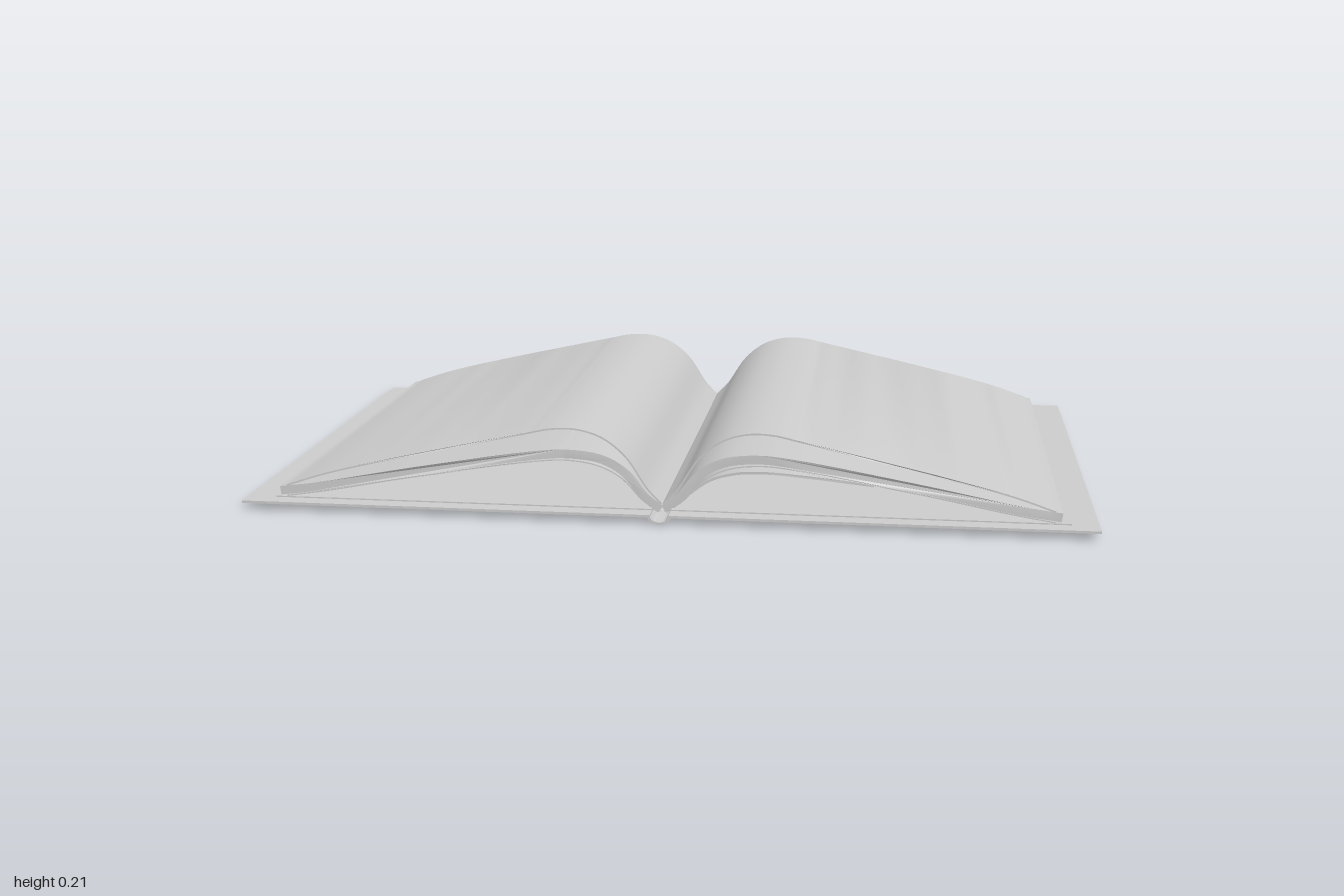
import * as THREE from 'three';
import { toCreasedNormals } from 'three/addons/utils/BufferGeometryUtils.js';

const material = new THREE.MeshStandardMaterial({ color: 0xcccccc, side: THREE.DoubleSide });

// Thickened curve in the x-y plane, extruded along z from zBack to zFront.
function slab(name, points, thickness, zBack, zFront, samples, side = 1, skew = false) {
  const curve = new THREE.CatmullRomCurve3(
    points.map(([x, y]) => new THREE.Vector3(x * side, y, 0)), false, 'centripetal');
  const upper = [], lower = [];
  for (let i = 0; i <= samples; i++) {
    const p = curve.getPoint(i / samples), t = curve.getTangent(i / samples);
    const nx = -t.y * thickness / 2, ny = t.x * thickness / 2;
    upper.push(new THREE.Vector2(p.x + nx, p.y + ny));
    lower.unshift(new THREE.Vector2(p.x - nx, p.y - ny));
  }
  const geometry = new THREE.ExtrudeGeometry(new THREE.Shape([...upper, ...lower]),
    { depth: zFront - zBack, bevelEnabled: false, steps: 1 });
  geometry.translate(0, 0, zBack);
  // Pages slide slightly backward toward the gutter.
  if (skew) {
    const pos = geometry.attributes.position;
    for (let i = 0; i < pos.count; i++) {
      const a = Math.min(Math.abs(pos.getX(i)) / 0.6, 1);
      pos.setZ(i, pos.getZ(i) - 0.022 * (1 - a * a * (3 - 2 * a)));
    }
  }
  const mesh = new THREE.Mesh(toCreasedNormals(geometry, 0.6), material);
  mesh.name = name;
  return mesh;
}

function box(name, x0, x1, y0, y1, z0, z1) {
  const mesh = new THREE.Mesh(new THREE.BoxGeometry(x1 - x0, y1 - y0, z1 - z0), material);
  mesh.position.set((x0 + x1) / 2, (y0 + y1) / 2, (z0 + z1) / 2);
  mesh.name = name;
  return mesh;
}

export function createModel() {
  const book = new THREE.Group();
  book.name = 'openBook';

  // Page profiles, from the gutter to the outer edge
  const blockProfile = [[0.004, 0.022], [0.04, 0.05], [0.085, 0.105], [0.14, 0.138],
    [0.22, 0.15], [0.3, 0.145], [0.6, 0.097], [0.82, 0.055], [0.915, 0.042]];
  const topProfile = [[0.002, 0.035], [0.035, 0.07], [0.085, 0.145], [0.14, 0.19],
    [0.2, 0.209], [0.26, 0.209], [0.32, 0.197], [0.6, 0.137], [0.8, 0.088], [0.9, 0.055]];
  const underProfile = [[0.004, 0.016], [0.045, 0.04], [0.095, 0.093], [0.15, 0.122],
    [0.22, 0.134], [0.3, 0.13], [0.6, 0.083], [0.8, 0.045], [0.9, 0.029]];

  for (const side of [1, -1]) {
    const half = new THREE.Group();
    half.name = side > 0 ? 'leftHalf' : 'rightHalf';
    half.add(
      box('cover', side > 0 ? 0.022 : -1, side > 0 ? 1 : -0.022, 0.017, 0.023, -0.62, 0.62),
      box('endpaper', side > 0 ? 0.022 : -0.93, side > 0 ? 0.937 : -0.022, 0.023, 0.026, -0.58, 0.58),
      slab('pageBlock', blockProfile, 0.021, -0.58, 0.588, 40, side, true),
      slab('topPage', topProfile, 0.004, -0.58, 0.588, 44, side, true),
      slab('bottomPage', underProfile, 0.003, -0.578, 0.585, 36, side, true),
    );
    book.add(half);
  }

  // Short loose leaf under the pages on one side
  book.add(slab('looseLeaf', [[0.02, 0.028], [0.06, 0.058], [0.11, 0.094], [0.17, 0.113],
    [0.24, 0.118], [0.35, 0.112], [0.49, 0.1]], 0.006, -0.575, 0.583, 28, 1, true));

  // Spine channel below the gutter
  book.add(slab('spine', [[-0.026, 0.02], [-0.018, 0.009], [0, 0.003], [0.018, 0.009], [0.026, 0.02]],
    0.006, -0.62, 0.62, 16));
  return book;
}
